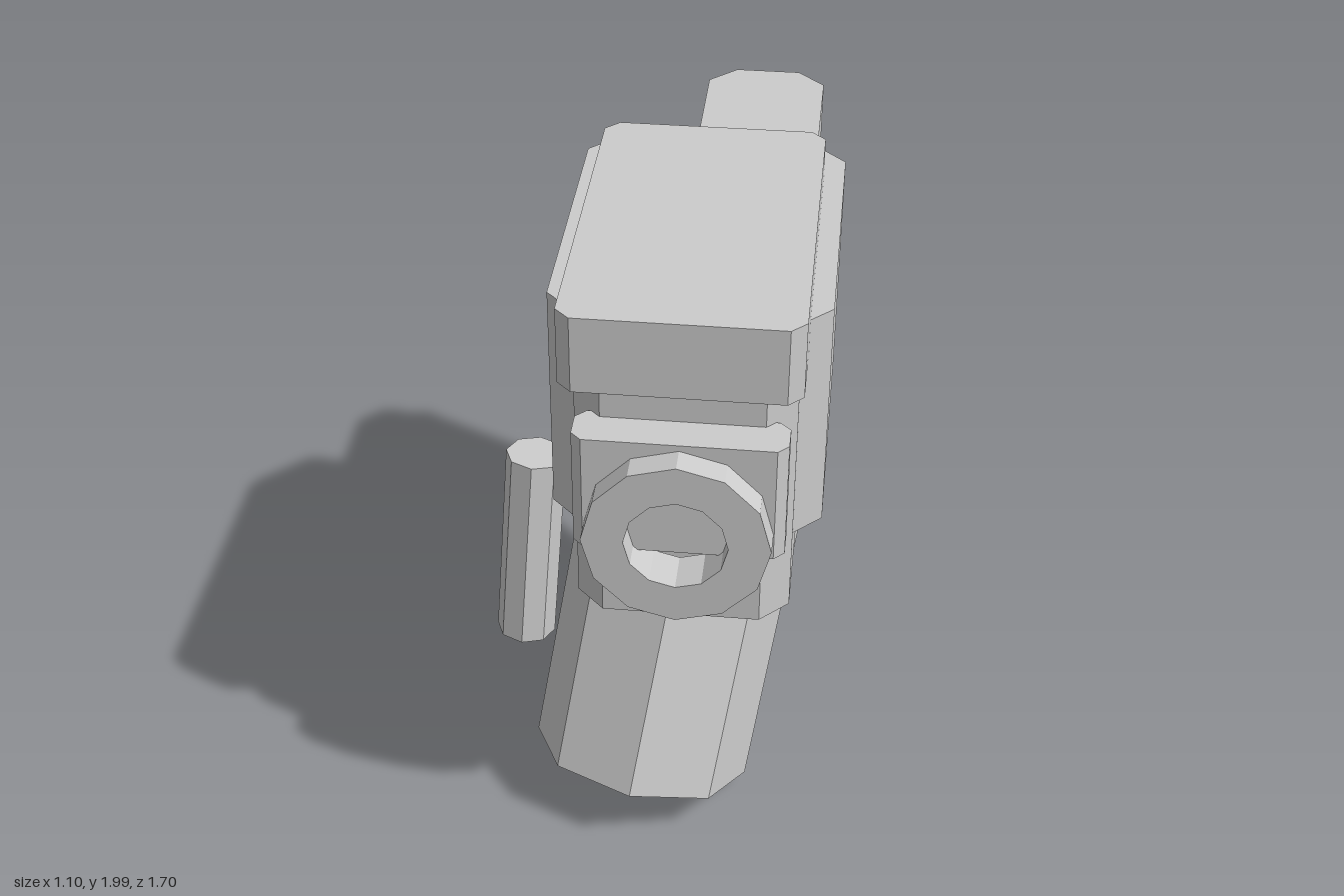
import * as THREE from 'three';

export function createModel() {
  const model = new THREE.Group();
  model.name = 'handheldDevice';
  const grey = new THREE.MeshStandardMaterial({ color: 0xcccccc });
  grey.name = 'plain grey';

  const add = (name, geometry) => {
    const mesh = new THREE.Mesh(geometry, grey);
    mesh.name = name;
    model.add(mesh);
    return mesh;
  };

  // Upright block whose four vertical corners are cut off at 45 degrees
  const block = (name, [x0, x1], [y0, y1], [z0, z1], c) => {
    const w = (x1 - x0) / 2, d = (z1 - z0) / 2;
    const plan = new THREE.Shape([
      [w, -d + c], [w, d - c], [w - c, d], [-w + c, d],
      [-w, d - c], [-w, -d + c], [-w + c, -d], [w - c, -d],
    ].map(([x, y]) => new THREE.Vector2(x, y)));
    const geometry = new THREE.ExtrudeGeometry(plan, { depth: y1 - y0, bevelEnabled: false });
    geometry.rotateX(-Math.PI / 2);
    add(name, geometry).position.set((x0 + x1) / 2, y0, (z0 + z1) / 2);
  };

  // Flat-faced eight-sided prism standing on a tilted axis
  const prism = (name, radius, length, [x, y, z], tiltX, tiltZ) => {
    const geometry = new THREE.CylinderGeometry(radius, radius, length, 8);
    geometry.translate(0, length / 2, 0);
    const flat = geometry.toNonIndexed();
    flat.computeVertexNormals();
    const mesh = add(name, flat);
    mesh.position.set(x, y, z);
    mesh.rotation.set(tiltX, 0, tiltZ);
  };

  // Body
  block('topCap', [-0.17, 0.488], [1.77, 2], [-0.31, 0.79], 0.042);
  block('mainBody', [-0.233, 0.55], [1.177, 1.887], [-0.507, 0.65], 0.16);
  block('innerColumn', [-0.153, 0.47], [0.917, 1.725], [-0.367, 0.658], 0.083);
  block('rearBox', [0.1, 0.463], [1.35, 1.932], [-0.85, 0], 0.083);
  block('frontPlate', [-0.138, 0.455], [1.237, 1.603], [0.633, 0.77], 0.03);

  // Open twelve-sided ring on the front plate
  const circle = (r) => Array.from({ length: 12 }, (_, i) =>
    new THREE.Vector2(r * Math.cos(i * Math.PI / 6), r * Math.sin(i * Math.PI / 6)));
  const ring = new THREE.Shape(circle(0.263));
  ring.holes.push(new THREE.Path(circle(0.145).reverse()));
  add('frontRing', new THREE.ExtrudeGeometry(ring, { depth: 0.133, bevelEnabled: false }))
    .position.set(0.16, 1.322, 0.717);

  // Grip and the loose rod beside it
  prism('grip', 0.342, 0.975, [0.013, 0.118, 0.412], -0.333, -0.148);
  prism('sideRod', 0.1, 0.715, [-0.455, 0.12, -0.152], -0.066, -0.07);

  return model;
}
